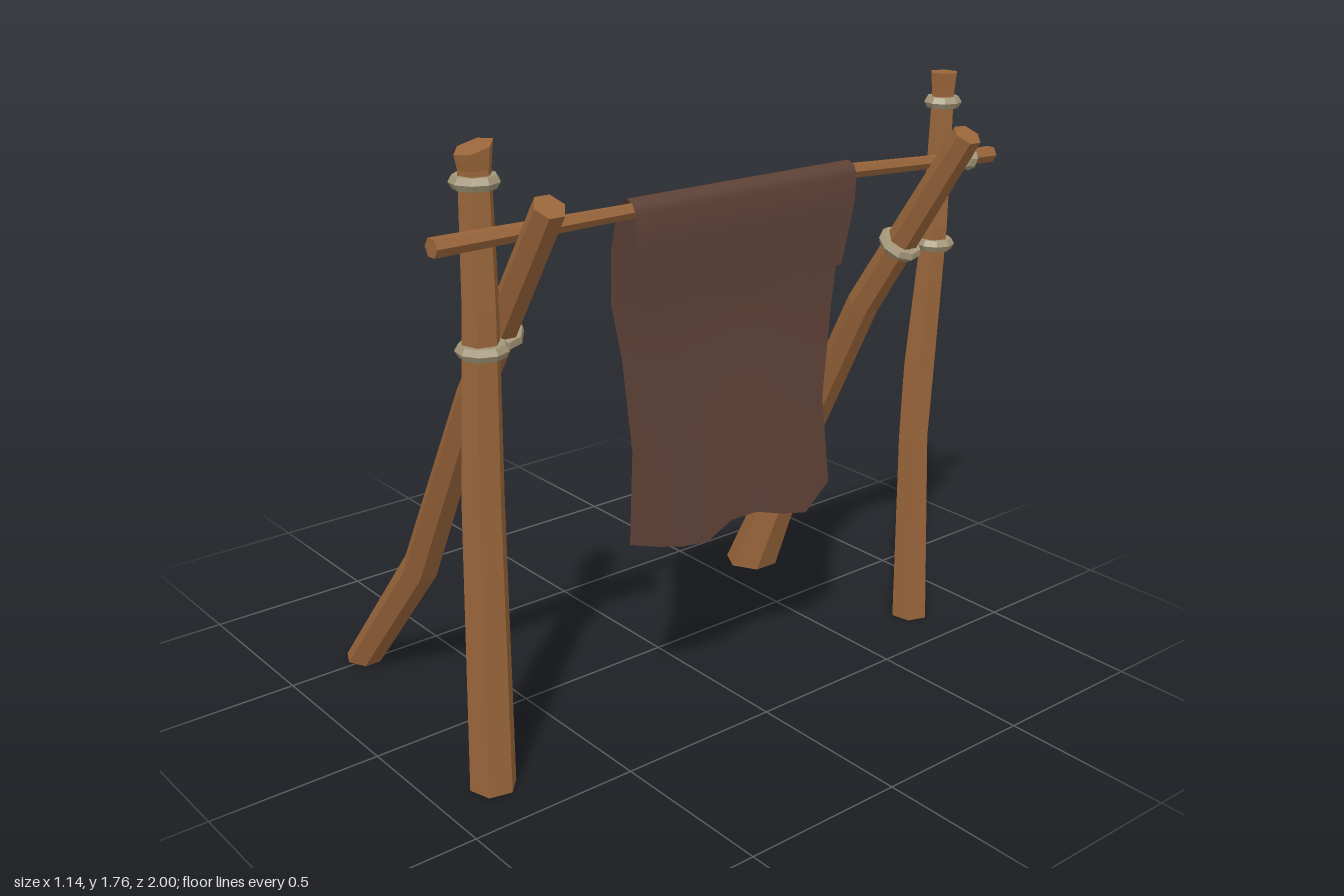
import * as THREE from 'three';

const wood = new THREE.MeshStandardMaterial({ color: 0x99653a, flatShading: true });
wood.name = 'wood';
const rope = new THREE.MeshStandardMaterial({ color: 0xa39678, flatShading: true });
rope.name = 'rope';
const hide = new THREE.MeshStandardMaterial({ color: 0x5f4237, side: THREE.DoubleSide });
hide.name = 'hide';

function makeGeometry(positions, index) {
  const g = new THREE.BufferGeometry();
  g.setAttribute('position', new THREE.Float32BufferAttribute(positions, 3));
  g.setIndex(index);
  g.computeVertexNormals();
  return g;
}

// Crooked tapered log through [x, y, z, radius] points, with closed ends
function log(name, pts, { sides = 6, turn = 0, tilt = 0 } = {}) {
  const c = pts.map(p => new THREE.Vector3(p[0], p[1], p[2]));
  const n = c.length, pos = [], idx = [];
  c.forEach((p, i) => {
    const t = c[Math.min(i + 1, n - 1)].clone().sub(c[Math.max(i - 1, 0)]).normalize();
    const ref = Math.abs(t.z) > 0.8 ? new THREE.Vector3(0, 1, 0) : new THREE.Vector3(0, 0, 1);
    const u = ref.cross(t).normalize();
    const v = t.clone().cross(u);
    for (let j = 0; j < sides; j++) {
      const a = turn + (j / sides) * Math.PI * 2;
      const q = p.clone().addScaledVector(u, Math.cos(a) * pts[i][3]).addScaledVector(v, Math.sin(a) * pts[i][3]);
      if (p.y === 0) q.addScaledVector(t, -q.y / t.y); // foot cut level with the ground
      if (i === n - 1) q.y -= tilt * (q.z - p.z);      // sloping saw cut
      pos.push(q.x, q.y, q.z);
    }
  });
  const first = n * sides, last = first + 1;
  pos.push(...c[0].toArray(), ...c[n - 1].toArray());
  for (let j = 0; j < sides; j++) {
    const k = (j + 1) % sides;
    for (let i = 0; i < n - 1; i++) {
      const a = i * sides + j, b = i * sides + k;
      idx.push(a, b, a + sides, b, b + sides, a + sides);
    }
    idx.push(first, k, j, last, (n - 1) * sides + j, (n - 1) * sides + k);
  }
  const m = new THREE.Mesh(makeGeometry(pos, idx), wood);
  m.name = name;
  return m;
}

// Rope loop around an axis
function ring(name, centre, axis, radius, tube = 0.019) {
  const m = new THREE.Mesh(new THREE.TorusGeometry(radius, tube, 6, 9), rope);
  m.position.set(...centre);
  m.quaternion.setFromUnitVectors(new THREE.Vector3(0, 0, 1), new THREE.Vector3(...axis).normalize());
  m.name = name;
  return m;
}

// Hide folded over the beam: long panel on one side, short flap on the other
function hangingHide() {
  const longHem = [0.6, 0.57, 0.545, 0.532, 0.572, 0.573, 0.545, 0.525, 0.6];
  const flapHem = [1.27, 1.255, 1.265, 1.26, 1.235, 1.25, 1.27, 1.27, 1.275];
  // rows: x, y, z of one edge, z of the other, hem that shapes the row
  const rows = [
    [0.375, 0.6, 0.395, -0.335, longHem],
    [0.358, 0.86, 0.376, -0.32],
    [0.347, 1.12, 0.4, -0.355],
    [0.348, 1.28, 0.432, -0.37],
    [0.354, 1.42, 0.435, -0.375],
    [0.36, 1.52, 0.42, -0.36],
    [0.37, 1.55, 0.415, -0.355],
    [0.39, 1.562, 0.412, -0.355],
    [0.412, 1.552, 0.41, -0.355],
    [0.424, 1.525, 0.408, -0.355],
    [0.425, 1.45, 0.405, -0.35],
    [0.417, 1.27, 0.4, -0.315, flapHem],
  ];
  const cols = 9, pos = [], idx = [];
  rows.forEach(([x, y, z0, z1, hem], i) => {
    for (let j = 0; j < cols; j++) {
      const s = j / (cols - 1);
      const ripple = i < 4 ? 0.006 * Math.sin(s * 9 + i) : 0;
      pos.push(x + ripple + (s - 0.5) * 0.014, hem ? hem[j] : y, z0 + (z1 - z0) * s);
      if (i && j) {
        const a = i * cols + j;
        idx.push(a, a - 1, a - cols, a - 1, a - cols - 1, a - cols);
      }
    }
  });
  const m = new THREE.Mesh(makeGeometry(pos, idx), hide);
  m.name = 'hangingHide';
  return m;
}

export function createModel() {
  const g = new THREE.Group();
  g.name = 'hideDryingRack';

  // Upright posts
  g.add(log('frontPost', [
    [0.32, 0, 0.828, 0.066], [0.325, 0.83, 0.83, 0.058], [0.348, 1.35, 0.832, 0.048],
    [0.345, 1.69, 0.833, 0.043], [0.345, 1.742, 0.834, 0.05],
  ], { turn: 0.3, tilt: 0.3 }));
  g.add(log('backPost', [
    [0.325, 0, -0.785, 0.06], [0.318, 0.62, -0.768, 0.05], [0.32, 0.85, -0.775, 0.052],
    [0.342, 1.3, -0.785, 0.042], [0.342, 1.69, -0.79, 0.036], [0.342, 1.753, -0.79, 0.042],
  ], { turn: 0.2 }));

  // Leaning braces
  g.add(log('frontBrace', [
    [-0.52, 0, 0.748, 0.05], [-0.195, 0.425, 0.718, 0.054], [0.155, 1.04, 0.745, 0.047],
    [0.53, 1.62, 0.75, 0.043],
  ], { turn: 0.5 }));
  g.add(log('backBrace', [
    [-0.295, 0, -0.652, 0.083], [-0.118, 0.49, -0.702, 0.053], [0.16, 1.03, -0.682, 0.05],
    [0.515, 1.605, -0.708, 0.043],
  ], { turn: 0.5 }));

  // Cross beam
  g.add(log('crossBeam', [
    [0.41, 1.538, 1, 0.026], [0.39, 1.53, 0.42, 0.02], [0.4, 1.53, -0.36, 0.022],
    [0.364, 1.495, -0.8, 0.02], [0.355, 1.486, -1, 0.026],
  ]));

  // Rope lashings
  const up = [0, 1, 0];
  const lean = [0.55, 0.83, 0];
  g.add(ring('frontPostTopRope', [0.344, 1.66, 0.833], up, 0.045));
  g.add(ring('backPostTopRope', [0.342, 1.667, -0.79], up, 0.036));
  g.add(ring('frontPostLowerRope', [0.35, 1.243, 0.832], up, 0.05));
  g.add(ring('backPostLowerRope', [0.345, 1.243, -0.785], up, 0.04));
  g.add(ring('frontBraceRope', [0.29, 1.262, 0.745], lean, 0.05));
  g.add(ring('backBraceRope', [0.295, 1.245, -0.69], lean, 0.05));
  g.add(ring('beamRope', [0.359, 1.491, -0.893], [0.05, 0.05, 1], 0.023, 0.017));

  g.add(hangingHide());
  return g;
}
